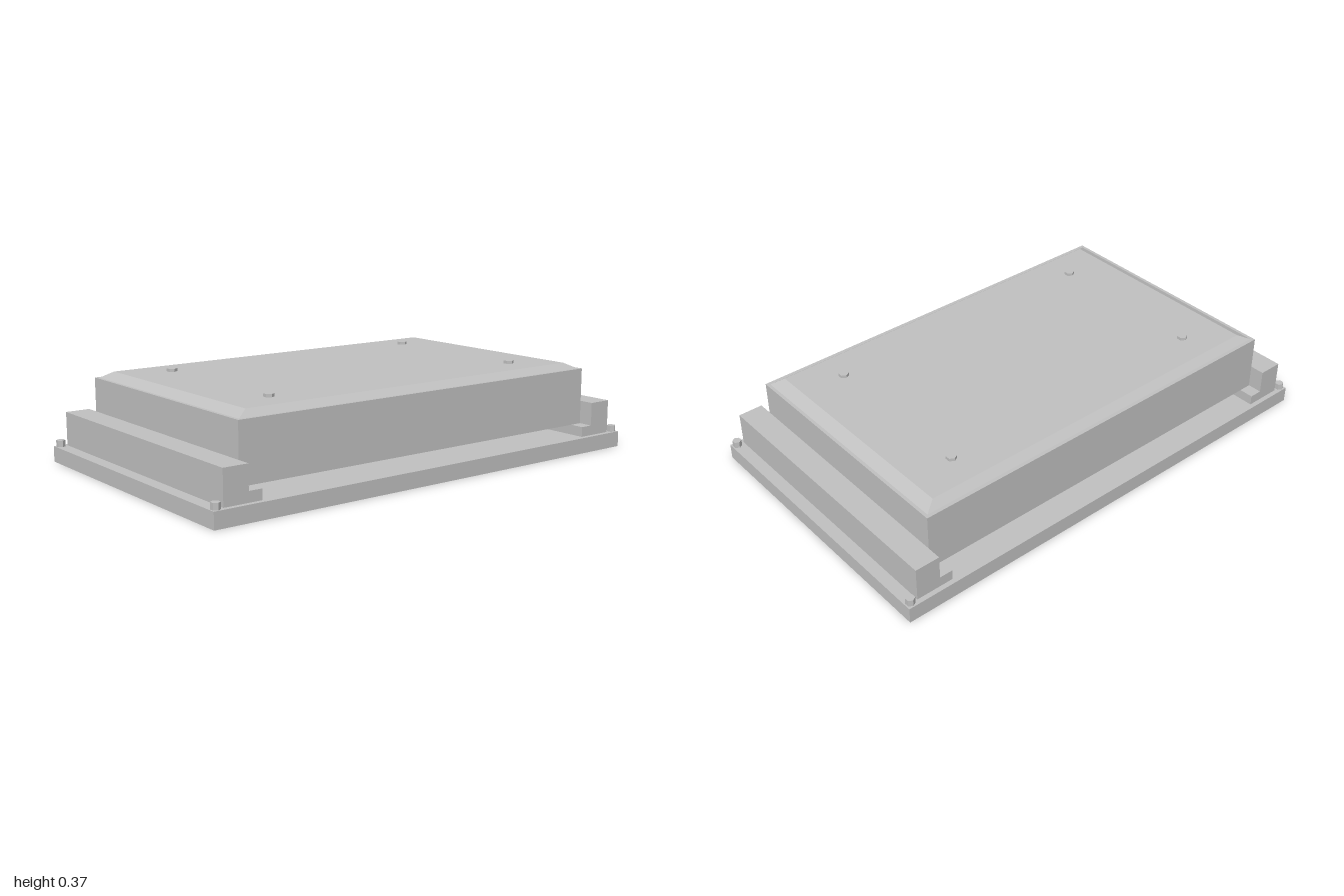
import * as THREE from 'three';

export function createModel() {
  const model = new THREE.Group();
  model.name = 'coveredTray';
  const grey = new THREE.MeshStandardMaterial({ color: 0xc0c0c0 });
  grey.name = 'plain grey';

  const add = (name, geometry, x = 0, y = 0, z = 0) => {
    const mesh = new THREE.Mesh(geometry, grey);
    mesh.name = name;
    mesh.position.set(x, y, z);
    model.add(mesh);
    return mesh;
  };
  const block = (name, w, d, y0, y1) =>
    add(name, new THREE.BoxGeometry(w, y1 - y0, d), 0, (y0 + y1) / 2, 0);

  // Flat base and the raised lid body
  block('basePlate', 2, 1.2, 0, 0.064);
  block('lidBody', 1.696, 1.04, 0.105, 0.337);

  // Shallow lid top: a box whose upper corners are drawn inwards
  const top = new THREE.BoxGeometry(1.67, 0.024, 1.01);
  const p = top.attributes.position;
  for (let i = 0; i < p.count; i++) {
    if (p.getY(i) > 0) {
      p.setX(i, Math.sign(p.getX(i)) * 0.787);
      p.setZ(i, Math.sign(p.getZ(i)) * 0.473);
    }
  }
  top.computeVertexNormals();
  add('lidTop', top, 0, 0.349, 0);

  // L-shaped rails that carry the lid at both ends
  const rail = (s) => {
    const pts = [[0.795, 0.064], [0.95, 0.064], [0.95, 0.2], [0.849, 0.2], [0.849, 0.105], [0.795, 0.105]];
    const shape = new THREE.Shape(pts.map(([x, y]) => new THREE.Vector2(s * x, y)));
    const geometry = new THREE.ExtrudeGeometry(shape, { depth: 1.16, bevelEnabled: false });
    return geometry.translate(0, 0, -0.58);
  };

  for (const s of [-1, 1]) {
    add(s > 0 ? 'leftRail' : 'rightRail', rail(s));
    for (const t of [-1, 1]) {
      // Bolt heads on the base corners and on the lid
      const hex = (r, h) => new THREE.CylinderGeometry(r, r, h, 6).toNonIndexed();
      const corner = hex(0.018, 0.026);
      const lid = hex(0.021, 0.013);
      corner.computeVertexNormals();
      lid.computeVertexNormals();
      add('cornerBolt', corner, s * 0.979, 0.077, t * 0.578);
      add('lidBolt', lid, s * 0.6, 0.3665, t * 0.34);
    }
  }
  return model;
}
